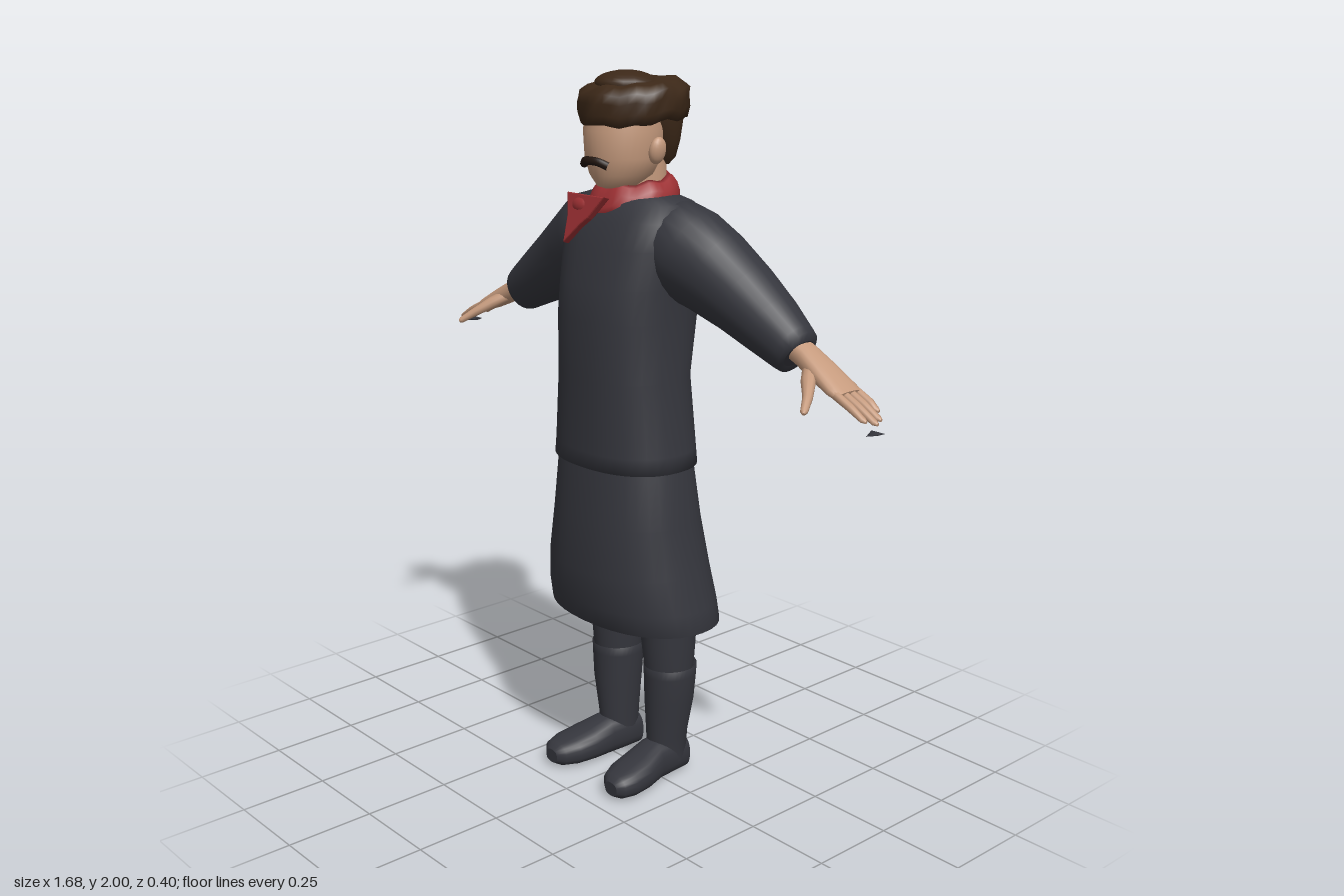
import * as THREE from 'three';

const mat = (name, color) => Object.assign(new THREE.MeshStandardMaterial({ color }), { name });
const X = new THREE.Vector3(1, 0, 0), Y = new THREE.Vector3(0, 1, 0), Z = new THREE.Vector3(0, 0, 1);

// Closed skin through rings [x, y, z, half width along ref, half width across].
// dir fixes the ring plane; without it rings follow the path. e > 2 squares the section.
function loft(rings, { ref = X, dir = null, n = 24, e = 2, warp = null } = {}) {
  const pos = [], idx = [], centres = rings.map(r => new THREE.Vector3(r[0], r[1], r[2]));
  const add = p => { if (warp) warp(p); pos.push(p.x, p.y, p.z); };
  const bend = t => Math.sign(t) * Math.pow(Math.abs(t), 2 / e);
  const ring = i => {
    const d = dir ? dir.clone() : centres[Math.min(i + 1, rings.length - 1)].clone()
      .sub(centres[Math.max(i - 1, 0)]).normalize();
    const u = ref.clone().addScaledVector(d, -ref.dot(d)).normalize();
    const v = d.clone().cross(u);
    for (let j = 0; j < n; j++) {
      const a = j / n * Math.PI * 2;
      add(centres[i].clone().addScaledVector(u, bend(Math.cos(a)) * rings[i][3])
        .addScaledVector(v, bend(Math.sin(a)) * rings[i][4]));
    }
  };
  rings.forEach((r, i) => ring(i));
  for (let i = 0; i < rings.length - 1; i++) for (let j = 0; j < n; j++) {
    const a = i * n + j, b = i * n + (j + 1) % n;
    idx.push(a, b, b + n, a, b + n, a + n);
  }
  // Flat caps with their own vertices
  for (const i of [0, rings.length - 1]) {
    const s = pos.length / 3;
    ring(i);
    add(centres[i].clone());
    for (let j = 0; j < n; j++) {
      const a = s + j, b = s + (j + 1) % n;
      idx.push(...(i === 0 ? [b, a, s + n] : [a, b, s + n]));
    }
  }
  const g = new THREE.BufferGeometry();
  g.setAttribute('position', new THREE.Float32BufferAttribute(pos, 3));
  g.setIndex(idx);
  g.computeVertexNormals();
  return g;
}

export function createModel() {
  const model = new THREE.Group();
  const cloth = mat('charcoal cloth', 0x35363d);
  const skin = mat('skin', 0xc59a7d);
  const red = mat('red scarf', 0x9c3033);
  const brown = mat('dark brown fur', 0x3c2818);
  const dark = mat('moustache brown', 0x21150f);
  const put = (name, geo, material, parent = model) => {
    const m = new THREE.Mesh(geo, material);
    m.name = name;
    parent.add(m);
    return m;
  };
  const ball = (name, material, p, s) => {
    const m = put(name, new THREE.SphereGeometry(1, 16, 12), material);
    m.position.set(...p);
    m.scale.set(...s);
    return m;
  };
  const up = { dir: Y, n: 36 };

  // Long coat: flared skirt with open hem, and the jacket over it
  put('coatSkirt', loft([
    [0, 0.6, 0, 0.2, 0.14], [0, 0.505, -0.01, 0.268, 0.175], [0, 0.5, -0.01, 0.28, 0.185],
    [0, 0.56, 0, 0.272, 0.19], [0, 0.66, 0.013, 0.25, 0.19], [0, 0.8, 0.02, 0.226, 0.174],
    [0, 0.96, 0.025, 0.208, 0.156], [0, 1.0, 0.025, 0.19, 0.14],
  ], { ...up, e: 2.2 }), cloth);
  put('coatJacket', loft([
    [0, 0.965, 0.025, 0.19, 0.14], [0, 0.955, 0.025, 0.218, 0.162], [0, 1.0, 0.025, 0.212, 0.161],
    [0, 1.2, 0.03, 0.19, 0.157], [0, 1.36, 0.018, 0.19, 0.172], [0, 1.45, 0.008, 0.195, 0.17],
    [0, 1.55, 0, 0.205, 0.155], [0, 1.62, -0.005, 0.205, 0.134], [0, 1.665, -0.01, 0.19, 0.11],
    [0, 1.685, -0.01, 0.11, 0.08],
  ], { ...up, e: 2.3 }), cloth);

  // Limbs, built once per side
  for (const s of [1, -1]) {
    const side = s > 0 ? 'left' : 'right';
    const limb = (name, rings, material, opt) =>
      put(side + name, loft(rings.map(([x, ...r]) => [s * x, ...r]), opt), material);

    limb('Sleeve', [
      [0.06, 1.59, -0.02, 0.08, 0.07], [0.13, 1.565, -0.025, 0.115, 0.118], [0.19, 1.535, -0.033, 0.117, 0.13],
      [0.27, 1.495, -0.05, 0.11, 0.118], [0.37, 1.44, -0.06, 0.099, 0.1], [0.46, 1.388, -0.062, 0.085, 0.085],
      [0.54, 1.342, -0.06, 0.066, 0.07], [0.556, 1.333, -0.06, 0.06, 0.066], [0.56, 1.33, -0.06, 0.045, 0.045],
    ], cloth, { ref: Z });

    // Hand: palm, four fingers and a thumb
    limb('Palm', [
      [0.53, 1.355, -0.06, 0.036, 0.03], [0.59, 1.328, -0.06, 0.037, 0.029], [0.65, 1.298, -0.056, 0.045, 0.026],
      [0.71, 1.268, -0.054, 0.05, 0.019], [0.735, 1.257, -0.054, 0.046, 0.014],
    ], skin, { ref: Z, n: 16, e: 2.4 });
    [0.8, 0.828, 0.838, 0.822].forEach((tip, i) => {
      const z = -0.09 + i * 0.024, drop = x => 1.268 - (x - 0.71) * 0.45;
      limb('Finger' + (i + 1), [
        [0.7, drop(0.7), z, 0.012, 0.012], [0.77, drop(0.77), z, 0.011, 0.011],
        [tip - 0.01, drop(tip), z, 0.009, 0.008], [tip, drop(tip) - 0.003, z, 0.004, 0.004],
      ], skin, { ref: Z, n: 8 });
    });
    limb('Thumb', [
      [0.61, 1.312, -0.05, 0.02, 0.018], [0.645, 1.285, -0.005, 0.02, 0.017], [0.68, 1.255, 0.035, 0.013, 0.013],
      [0.702, 1.232, 0.07, 0.01, 0.009], [0.706, 1.228, 0.076, 0.004, 0.004],
    ], skin, { n: 10 });

    // Small loose scrap under the fingertips
    const scrap = put(side + 'Scrap', new THREE.ConeGeometry(0.025, 0.045, 3), cloth);
    scrap.scale.set(1, 1, 0.25);
    scrap.rotation.set(Math.PI / 2, 0, 0);
    scrap.position.set(s * 0.815, s > 0 ? 1.176 : 1.2, -0.05);

    // Trousers, boot shaft and foot
    limb('Trouser', [
      [0.111, 0.31, -0.043, 0.066, 0.07], [0.109, 0.42, -0.042, 0.075, 0.08], [0.108, 0.62, -0.04, 0.08, 0.085],
    ], cloth, up);
    limb('BootShaft', [
      [0.105, 0.05, -0.042, 0.05, 0.06], [0.105, 0.13, -0.041, 0.053, 0.064], [0.112, 0.24, -0.043, 0.068, 0.073],
      [0.113, 0.32, -0.045, 0.073, 0.077], [0.113, 0.348, -0.045, 0.074, 0.078], [0.113, 0.34, -0.045, 0.066, 0.07],
    ], cloth, up);
    limb('BootFoot', [
      [0.102, 0.048, -0.112, 0.025, 0.035], [0.102, 0.056, -0.095, 0.046, 0.052], [0.104, 0.063, -0.04, 0.052, 0.059],
      [0.108, 0.062, 0.02, 0.054, 0.058], [0.118, 0.052, 0.08, 0.064, 0.048], [0.126, 0.046, 0.14, 0.063, 0.041],
      [0.131, 0.042, 0.18, 0.048, 0.033], [0.133, 0.038, 0.197, 0.025, 0.02],
    ], cloth, { dir: Z, e: 2.5 });

    ball(side + 'Ear', skin, [s * 0.11, 1.8, 0.01], [0.018, 0.036, 0.026]).rotation.z = -s * 0.2;
  }

  // Head and neck
  put('neck', loft([[0, 1.6, -0.03, 0.075, 0.07], [0, 1.8, -0.02, 0.075, 0.075]], up), skin);
  put('face', loft([
    [0, 1.695, 0.05, 0.025, 0.03], [0, 1.705, 0.045, 0.05, 0.065], [0, 1.735, 0.035, 0.083, 0.09],
    [0, 1.78, 0.03, 0.1, 0.105], [0, 1.85, 0.025, 0.106, 0.114], [0, 1.93, 0.01, 0.1, 0.11],
  ], up), skin);
  const lip = new THREE.CatmullRomCurve3([[-0.048, 1.762, 0.125], [-0.025, 1.773, 0.14], [0, 1.775, 0.146],
    [0.025, 1.773, 0.14], [0.048, 1.762, 0.125]].map(p => new THREE.Vector3(...p)));
  put('moustache', new THREE.TubeGeometry(lip, 20, 0.011, 8), dark);

  // Hair at the back of the head
  put('backHair', loft([
    [0, 1.755, -0.07, 0.06, 0.03], [0, 1.775, -0.066, 0.085, 0.045], [0, 1.82, -0.06, 0.1, 0.065],
    [0, 1.88, -0.045, 0.115, 0.09], [0, 1.92, -0.04, 0.11, 0.09],
  ], up), brown);

  // Rumpled fur cap with a soft crown
  const rumple = p => {
    const k = 1 + 0.035 * Math.sin(p.x * 70 + p.y * 60) * Math.sin(p.z * 65 - p.y * 90);
    p.set(p.x * k, p.y + 0.007 * Math.sin(p.x * 60) * Math.cos(p.z * 55) - p.z * 0.07, p.z * k);
  };
  const fur = brown;
  put('furCap', loft([
    [0, 1.885, -0.005, 0.1, 0.11], [0, 1.874, -0.005, 0.13, 0.146], [0, 1.9, -0.006, 0.14, 0.154],
    [0, 1.93, -0.006, 0.137, 0.152], [0, 1.953, -0.006, 0.137, 0.15], [0, 1.968, -0.005, 0.115, 0.125],
    [0, 1.976, 0, 0.06, 0.07],
  ], { dir: Y, n: 40, warp: rumple }), fur);
  ball('capCrown', fur, [-0.008, 1.965, 0.015], [0.083, 0.035, 0.085]);

  // Neckerchief: collar ring, knot and hanging tail
  put('scarfCollar', loft([
    [0, 1.645, -0.005, 0.1, 0.1], [0, 1.645, -0.003, 0.124, 0.122], [0, 1.67, -0.005, 0.127, 0.122],
    [0, 1.695, -0.008, 0.118, 0.112], [0, 1.715, -0.01, 0.1, 0.1], [0, 1.72, -0.01, 0.088, 0.088],
    [0, 1.69, -0.01, 0.076, 0.076],
  ], {
    ...up, warp: p => {
      p.y += -p.z * 0.14 + 0.005 * Math.sin(Math.atan2(p.z, p.x) * 7);
    },
  }), red);
  ball('scarfKnot', red, [-0.06, 1.65, 0.115], [0.045, 0.028, 0.028]);
  const tail = new THREE.Shape([[-0.05, 0.01], [-0.03, -0.05], [-0.025, -0.115], [0.015, -0.07], [0.045, -0.045], [0.09, 0.01]]
    .reverse().map(p => new THREE.Vector2(...p)));
  const flap = put('scarfTail', new THREE.ExtrudeGeometry(tail, { depth: 0.014, bevelSize: 0.004, bevelThickness: 0.004, bevelSegments: 2 }), red);
  flap.position.set(-0.062, 1.665, 0.115);
  flap.rotation.x = -0.3;

  return model;
}
